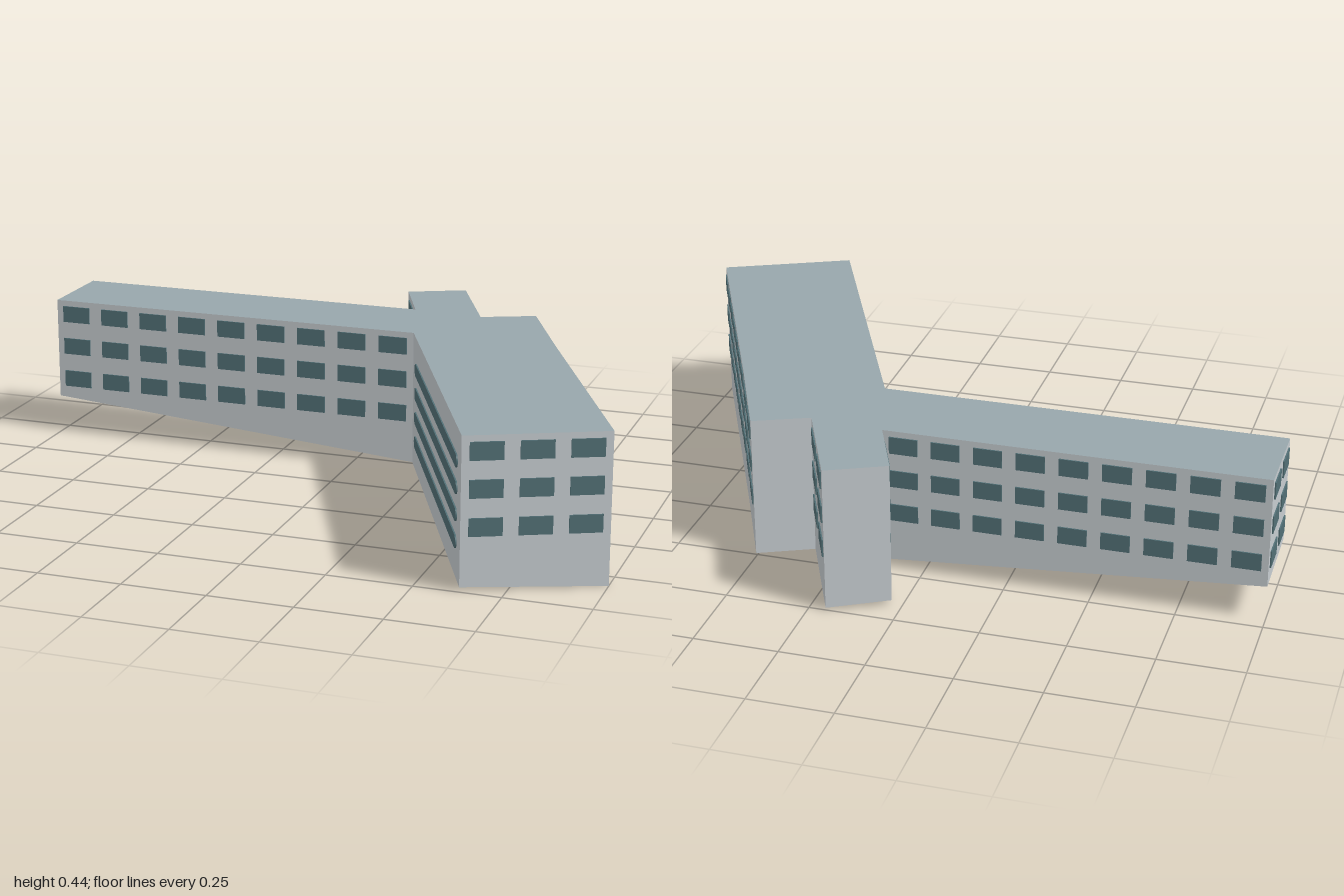
import * as THREE from 'three';

const TOP = 0.44;
// Footprint corners: x, z, height of the sloping base
const CORNERS = [
  [-1, -0.46, 0.108], [0.12, -0.46, 0.025], [0.03, -0.67, 0.015], [0.2, -0.75, 0.007],
  [0.34, -0.44, 0.012], [0.5, -0.51, 0.01], [0.645, -0.19, 0.003], [1, 0.57, 0],
  [0.63, 0.745, 0.012], [0.2, -0.19, 0.025], [-1, -0.19, 0.12],
];
// Window columns on the wall that starts at each corner
const COLUMNS = [9, 1, 0, 2, 0, 2, 7, 3, 'ribbons', 9, 2];
const ROWS = [0.396, 0.29, 0.182];
const RIBBON_ROWS = [0.345, 0.269, 0.192, 0.115];

function meshFrom(points, material, name) {
  const geometry = new THREE.BufferGeometry();
  geometry.setAttribute('position', new THREE.Float32BufferAttribute(points.flat(), 3));
  geometry.computeVertexNormals();
  const mesh = new THREE.Mesh(geometry, material);
  mesh.name = name;
  return mesh;
}

// Horizontal cap over the footprint, facing up or down
function cap(heightOf, up) {
  const contour = CORNERS.map(([x, z]) => new THREE.Vector2(x, z));
  const points = [];
  for (const face of THREE.ShapeUtils.triangulateShape(contour, [])) {
    const [a, b, c] = face.map((i) => contour[i]);
    const facesUp = (b.x - a.x) * (c.y - a.y) - (b.y - a.y) * (c.x - a.x) < 0;
    const order = facesUp === up ? face : [...face].reverse();
    for (const i of order) points.push([CORNERS[i][0], heightOf(CORNERS[i]), CORNERS[i][1]]);
  }
  return points;
}

// Long strip window with rounded ends
function ribbonGeometry(length, height) {
  const r = height / 2;
  const x = length / 2 - r;
  const shape = new THREE.Shape();
  shape.absarc(x, 0, r, -Math.PI / 2, Math.PI / 2, false);
  shape.absarc(-x, 0, r, Math.PI / 2, Math.PI * 1.5, false);
  return new THREE.ExtrudeGeometry(shape, { depth: 0.004, bevelEnabled: false, curveSegments: 8 });
}

export function createModel() {
  const wallPaint = new THREE.MeshStandardMaterial({ color: 0xc6ccd0 });
  wallPaint.name = 'wall grey';
  const roofPaint = new THREE.MeshStandardMaterial({ color: 0x97a6ab });
  roofPaint.name = 'roof blue grey';
  const glass = new THREE.MeshStandardMaterial({ color: 0x527076 });
  glass.name = 'window teal';

  const model = new THREE.Group();
  model.name = 'building';

  // Roof and sloping underside
  model.add(meshFrom(cap(() => TOP, true), roofPaint, 'roof'));
  model.add(meshFrom(cap((corner) => corner[2], false), wallPaint, 'underside'));

  CORNERS.forEach(([x0, z0, y0], i) => {
    const [x1, z1, y1] = CORNERS[(i + 1) % CORNERS.length];
    const length = Math.hypot(x1 - x0, z1 - z0);

    // Wall
    const a = [x0, y0, z0], b = [x1, y1, z1], c = [x1, TOP, z1], d = [x0, TOP, z0];
    model.add(meshFrom([a, c, b, a, d, c], wallPaint, 'wall'));

    // Windows, laid out in the wall's own frame with +z pointing outwards
    const windows = new THREE.Group();
    windows.name = 'wallWindows';
    windows.position.set((x0 + x1) / 2, 0, (z0 + z1) / 2);
    windows.rotation.y = Math.atan2(z1 - z0, x0 - x1);
    const addPane = (geometry, x, y, name) => {
      const pane = new THREE.Mesh(geometry, glass);
      pane.name = name;
      pane.position.set(x, y, 0);
      windows.add(pane);
    };

    if (COLUMNS[i] === 'ribbons') {
      const strip = ribbonGeometry(length * 0.88, 0.038);
      for (const y of RIBBON_ROWS) addPane(strip, 0, y, 'ribbonWindow');
    } else if (COLUMNS[i] > 0) {
      const pitch = length / COLUMNS[i];
      const pane = new THREE.BoxGeometry(pitch * 0.68, 0.052, 0.008);
      for (const y of ROWS) {
        for (let n = 0; n < COLUMNS[i]; n++) {
          addPane(pane, (n + 0.5) * pitch - length / 2, y, 'window');
        }
      }
    }
    if (windows.children.length) model.add(windows);
  });

  return model;
}
